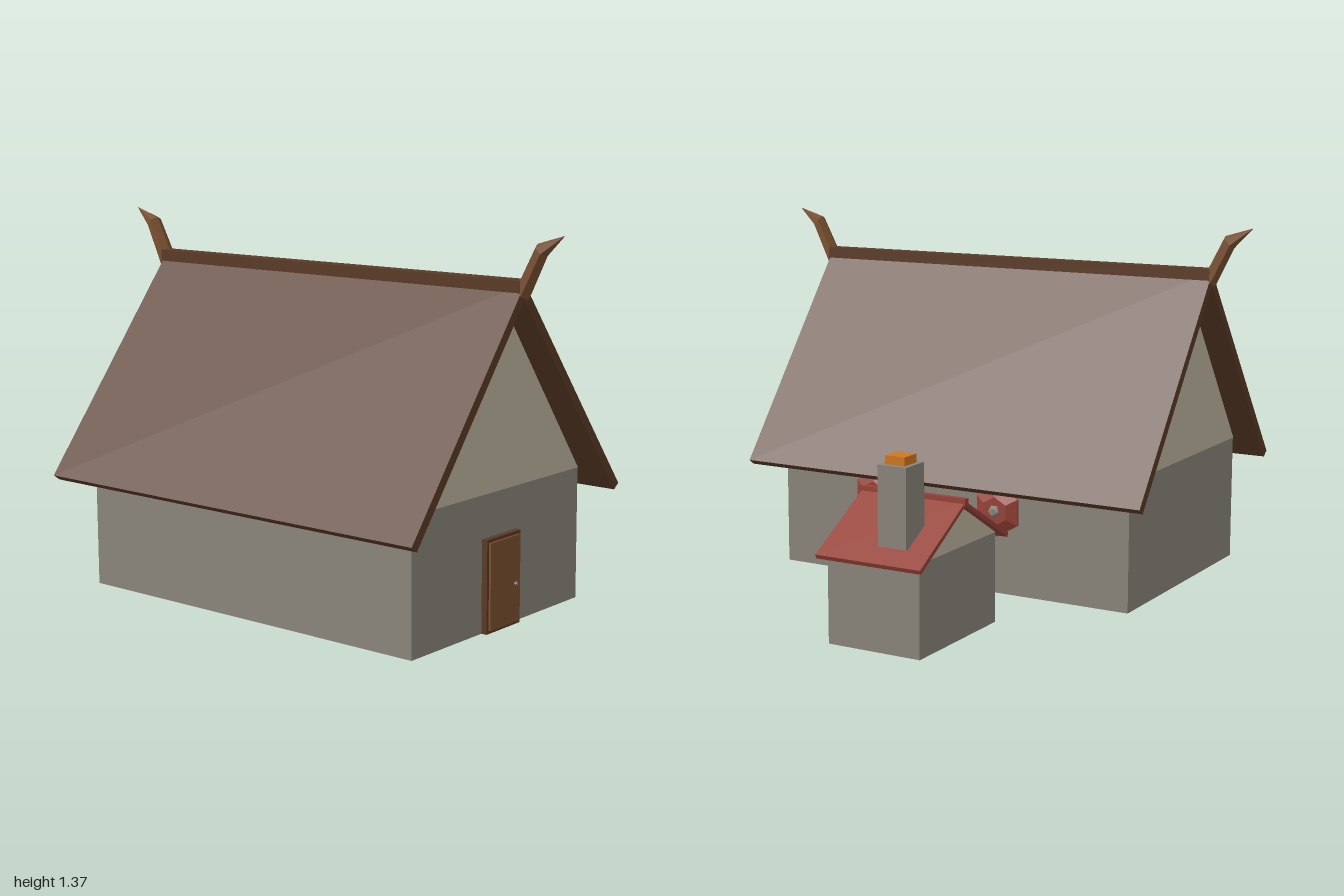
import * as THREE from 'three';

const mat = (name, color) => Object.assign(new THREE.MeshStandardMaterial({ color }), { name });

export function createModel() {
  const stone = mat('stone', 0x8a857b);
  const plaster = mat('plaster', 0xbdb49f);
  const darkWood = mat('dark wood', 0x5a3a26);
  const lightWood = mat('light wood', 0x7a5030);
  const red = mat('red', 0x964238);
  const black = mat('opening', 0x222222);
  const ember = mat('ember', 0xd0761f);

  const group = (name, parent) => {
    const g = new THREE.Group();
    g.name = name;
    if (parent) parent.add(g);
    return g;
  };
  const add = (parent, name, geometry, material) => {
    const m = new THREE.Mesh(geometry, material);
    m.name = name;
    parent.add(m);
    return m;
  };
  // Box given by its extents
  const box = (parent, name, material, [x0, x1], [y0, y1], [z0, z1]) => {
    const g = new THREE.BoxGeometry(x1 - x0, y1 - y0, z1 - z0);
    return add(parent, name, g.translate((x0 + x1) / 2, (y0 + y1) / 2, (z0 + z1) / 2), material);
  };
  // Front outline extruded from z0 to z1
  const prism = (parent, name, material, points, z0, z1) => {
    const shape = new THREE.Shape(points.map(([x, y]) => new THREE.Vector2(x, y)));
    const g = new THREE.ExtrudeGeometry(shape, { depth: z1 - z0, bevelEnabled: false });
    return add(parent, name, g.translate(0, 0, z0), material);
  };
  // Pitched roof: outer and inner edges of one half, mirrored
  const roof = (parent, name, material, top, outer, inner, under, z0, z1) => prism(parent, name, material,
    [[0, top], [-outer[0], outer[1]], [-inner[0], inner[1]], [0, under], inner, outer], z0, z1);

  const model = group('farmstead');

  // Long hall
  const hall = group('hall', model);
  hall.position.x = -0.385;
  box(hall, 'hallWalls', stone, [-0.48, 0.48], [0, 0.485], [-0.748, 0.748]);
  prism(hall, 'hallGables', plaster, [[-0.48, 0.485], [0.48, 0.485], [0, 1.14]], -0.75, 0.75);
  roof(hall, 'hallRoof', darkWood, 1.2, [0.602, 0.42], [0.575, 0.4], 1.145, -0.845, 0.845);
  box(hall, 'ridgeBeam', darkWood, [-0.03, 0.03], [1.17, 1.212], [-0.845, 0.845]);

  // Curved six-sided horns at both ridge ends, lofted through [z, y] of upper and lower edges
  const sections = [
    { up: [0.823, 1.2], low: [0.857, 1.145], w: 0.03 },
    { up: [0.893, 1.335], low: [0.93, 1.293], w: 0.026 },
    { up: [1.0, 1.367], low: [1.0, 1.365], w: 0.001 },
  ];
  const rings = sections.map(({ up, low, w }) => {
    const at = (x, t) => new THREE.Vector3(x, up[1] + (low[1] - up[1]) * t, up[0] + (low[0] - up[0]) * t);
    return [at(0, 0), at(w, 0.25), at(w, 0.75), at(0, 1), at(-w, 0.75), at(-w, 0.25)];
  });
  const tri = [];
  for (let s = 0; s < 2; s++) {
    for (let i = 0; i < 6; i++) {
      const j = (i + 1) % 6;
      const [a, b, c, d] = [rings[s][i], rings[s][j], rings[s + 1][j], rings[s + 1][i]];
      tri.push(a, c, b, a, d, c);
    }
  }
  for (let i = 1; i < 5; i++) tri.push(rings[0][0], rings[0][i], rings[0][i + 1]);
  const hornGeometry = new THREE.BufferGeometry().setFromPoints(tri);
  hornGeometry.computeVertexNormals();
  // Orient outward: signed volume must be positive
  let volume = 0;
  for (let i = 0; i < tri.length; i += 3) volume += tri[i].clone().cross(tri[i + 1]).dot(tri[i + 2]);
  if (volume < 0) {
    for (let i = 0; i < tri.length; i += 3) [tri[i + 1], tri[i + 2]] = [tri[i + 2], tri[i + 1]];
    hornGeometry.setFromPoints(tri);
    hornGeometry.computeVertexNormals();
  }
  add(hall, 'frontHorn', hornGeometry, lightWood);
  add(hall, 'backHorn', hornGeometry, lightWood).rotation.y = Math.PI;

  // Door with frame and knob
  const door = group('door', hall);
  box(door, 'doorFrame', darkWood, [-0.097, 0.097], [0, 0.332], [0.74, 0.77]);
  box(door, 'doorPanel', lightWood, [-0.086, 0.086], [0.012, 0.32], [0.76, 0.778]);
  add(door, 'doorKnob', new THREE.IcosahedronGeometry(0.008, 0), stone).position.set(0.057, 0.15, 0.782);

  // Hexagonal shields on the left wall
  for (const z of [0.325, -0.21]) {
    const shield = group('shield', model);
    shield.position.set(0.095, 0.32, z);
    shield.rotation.z = -Math.PI / 2;
    const faces = [[0.1, 0.1, 0, 0.008], [0.1, 0.055, 0.008, 0.03]];
    for (const [r0, r1, y0, y1] of faces) {
      const g = new THREE.CylinderGeometry(r1, r0, y1 - y0, 6).toNonIndexed();
      g.rotateY(Math.PI / 2).translate(0, (y0 + y1) / 2, 0);
      g.computeVertexNormals();
      add(shield, 'shieldFace', g, red);
    }
    const boss = new THREE.IcosahedronGeometry(0.025, 0).scale(1, 0.7, 1);
    add(shield, 'shieldBoss', boss, stone).position.y = 0.03;
  }

  // Small forge hut
  const hut = group('hut', model);
  hut.position.x = 0.682;
  box(hut, 'hutWalls', stone, [-0.255, 0.255], [0, 0.33], [-0.384, -0.018]);
  prism(hut, 'hutGables', plaster, [[-0.255, 0.33], [0.255, 0.33], [0, 0.478]], -0.386, -0.016);
  roof(hut, 'hutRoof', red, 0.495, [0.299, 0.322], [0.292, 0.307], 0.48, -0.413, 0.003);
  box(hut, 'hutRidge', red, [-0.012, 0.012], [0.48, 0.505], [-0.417, 0.006]);
  box(hut, 'hutOpening', black, [-0.157, 0.155], [0.015, 0.27], [-0.019, -0.011]);
  box(hut, 'chimney', stone, [0.121, 0.237], [0.365, 0.645], [-0.322, -0.21]);
  box(hut, 'chimneyEmbers', ember, [0.141, 0.217], [0.64, 0.675], [-0.304, -0.228]);

  // Tapered trough in front of the hut
  prism(model, 'trough', stone,
    [[0.535, 0], [0.628, 0], [0.64, 0.115], [0.645, 0.115], [0.645, 0.13], [0.515, 0.13], [0.515, 0.115], [0.523, 0.115]],
    0.058, 0.102);

  return model;
}
